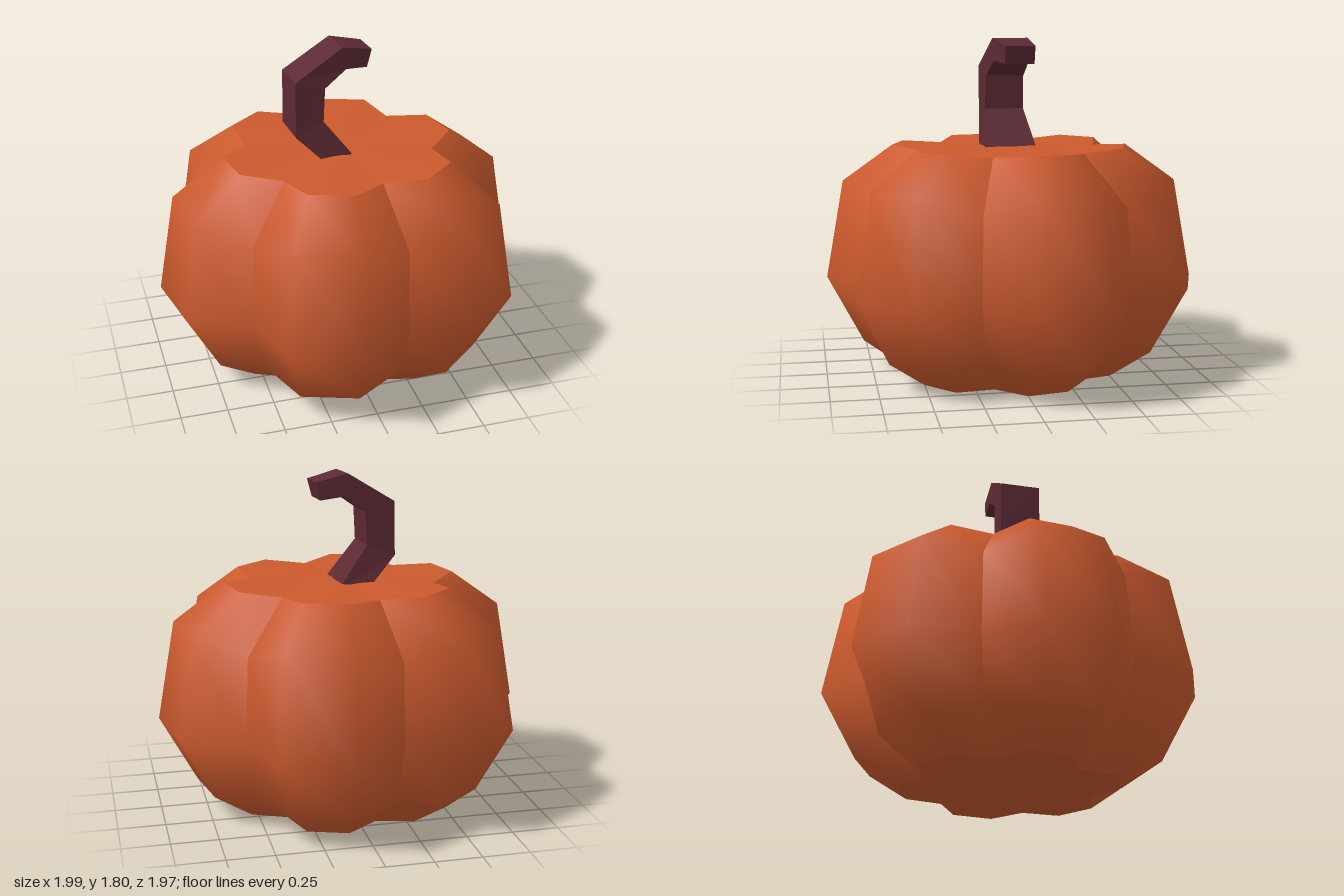
import * as THREE from 'three';

const orange = new THREE.MeshStandardMaterial({ color: 0xcc5a2e });
const purple = new THREE.MeshStandardMaterial({ color: 0x5c2a34, flatShading: true });

const DEG = Math.PI / 180;
const LOBES = 6;
// Rings from bottom to top: [radius, height] on the lobe ridges and in the grooves
const RIDGE = [[0.58, 0], [0.8, 0.15], [0.995, 0.51], [0.9, 1.04], [0.63, 1.235]];
const GROOVE = [[0.46, 0], [0.7, 0.2], [0.8, 0.51], [0.775, 0.96], [0.5, 1.215]];
// Columns of one lobe: groove, two ridges, groove
const COLUMNS = [[-41, GROOVE], [-22, RIDGE], [0, RIDGE], [19, GROOVE]];

function makeMesh(name, points, index, material) {
  const geometry = new THREE.BufferGeometry();
  geometry.setAttribute('position', new THREE.Float32BufferAttribute(points.flat(), 3));
  geometry.setIndex(index);
  geometry.computeVertexNormals();
  const mesh = new THREE.Mesh(geometry, material);
  mesh.name = name;
  return mesh;
}

const polar = (degrees, [r, y]) => [r * Math.cos(degrees * DEG), y, r * Math.sin(degrees * DEG)];

// One smooth lobe; separate vertices keep the grooves sharp
function makeLobe(turn) {
  const points = [], index = [];
  const rows = RIDGE.length;
  for (const [angle, profile] of COLUMNS)
    for (const ring of profile) points.push(polar(angle + turn, ring));
  for (let c = 0; c < COLUMNS.length - 1; c++)
    for (let r = 0; r < rows - 1; r++) {
      const a = c * rows + r, b = a + rows;
      index.push(a, a + 1, b + 1, a, b + 1, b);
    }
  return makeMesh('lobe', points, index, orange);
}

// Star-shaped fan closing the top or the bottom
function makeCap(name, row, centreY, up) {
  const points = [[0, centreY, 0]], index = [];
  for (let i = 0; i < LOBES; i++)
    for (const [angle, profile] of COLUMNS.slice(0, 3))
      points.push(polar(angle + i * 60, profile[row]));
  const n = points.length - 1;
  for (let i = 0; i < n; i++) {
    const a = 1 + i, b = 1 + (i + 1) % n;
    index.push(0, ...(up ? [b, a] : [a, b]));
  }
  return makeMesh(name, points, index, orange);
}

// Square stem lofted through corner sections: outer back, outer front, inner front, inner back
function makeStem() {
  const sections = [
    [[-0.13, 1.2, -0.14], [-0.11, 1.2, 0.145], [0.06, 1.2, 0.13], [0.04, 1.2, -0.15]],
    [[-0.28, 1.36, -0.09], [-0.26, 1.35, 0.125], [-0.11, 1.42, 0.115], [-0.125, 1.42, -0.1]],
    [[-0.275, 1.65, -0.09], [-0.26, 1.65, 0.125], [-0.1, 1.6, 0.11], [-0.115, 1.6, -0.1]],
    [[-0.02, 1.805, -0.105], [0, 1.805, 0.09], [0.02, 1.685, 0.085], [0.005, 1.685, -0.11]],
    [[0.155, 1.765, -0.115], [0.168, 1.765, 0.045], [0.143, 1.67, 0.045], [0.13, 1.67, -0.115]],
  ];
  const index = [2, 1, 0, 3, 2, 0];
  for (let s = 0; s < sections.length - 1; s++)
    for (let i = 0; i < 4; i++) {
      const a = s * 4 + i, b = s * 4 + (i + 1) % 4;
      index.push(a, b, b + 4, a, b + 4, a + 4);
    }
  const tip = (sections.length - 1) * 4;
  index.push(tip, tip + 1, tip + 2, tip, tip + 2, tip + 3);
  return makeMesh('stem', sections.flat(), index, purple);
}

export function createModel() {
  const model = new THREE.Group();
  model.name = 'pumpkin';

  const body = new THREE.Group();
  body.name = 'body';
  for (let i = 0; i < LOBES; i++) body.add(makeLobe(i * 60));
  body.add(makeCap('topCap', RIDGE.length - 1, 1.225, true));
  body.add(makeCap('bottomCap', 0, 0, false));

  model.add(body, makeStem());
  return model;
}
